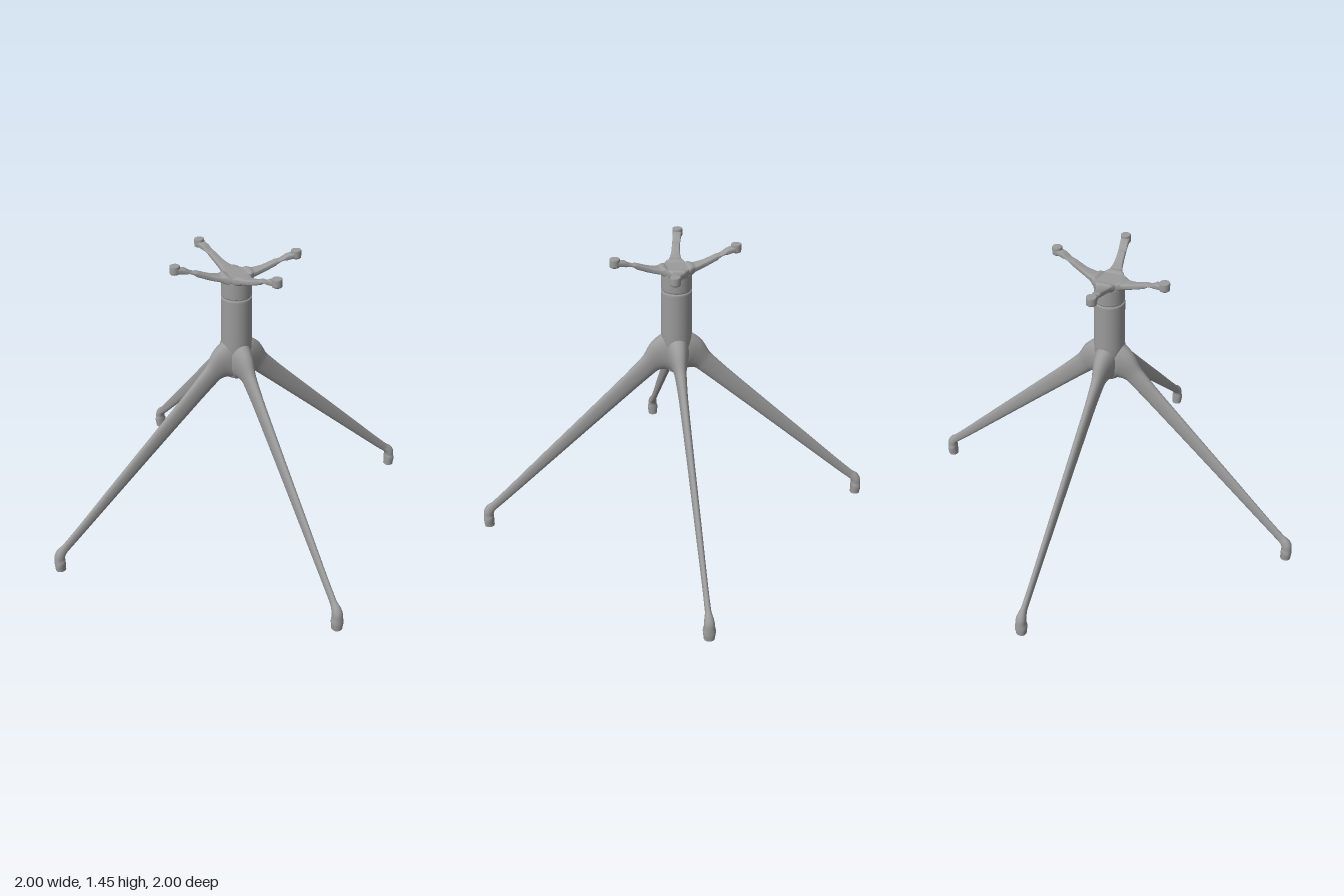
import * as THREE from 'three';

const V = (x, y, z) => new THREE.Vector3(x, y, z);

// Skin of rounded cross-sections; each station is { p: centre, u, v: half axes }, u x v along the path
function loft(stations, power, perSpan = 6, sides = 24) {
  const curve = (key) => new THREE.CatmullRomCurve3(stations.map((s) => s[key]));
  const P = curve('p'), U = curve('u'), W = curve('v');
  const rows = (stations.length - 1) * perSpan;
  const pos = [], idx = [];
  const soft = (c) => Math.sign(c) * Math.pow(Math.abs(c), power);
  const ring = (t) => {
    const p = P.getPoint(t), u = U.getPoint(t), v = W.getPoint(t);
    for (let j = 0; j < sides; j++) {
      const a = (j / sides) * Math.PI * 2;
      const q = p.clone().addScaledVector(u, soft(Math.cos(a))).addScaledVector(v, soft(Math.sin(a)));
      pos.push(q.x, q.y, q.z);
    }
    return p;
  };
  for (let i = 0; i <= rows; i++) ring(i / rows);
  for (let i = 0; i < rows; i++) {
    for (let j = 0; j < sides; j++) {
      const k = (j + 1) % sides, a = i * sides, b = a + sides;
      idx.push(a + j, a + k, b + j, a + k, b + k, b + j);
    }
  }
  // flat end caps
  for (const end of [0, 1]) {
    const base = pos.length / 3;
    const c = ring(end);
    pos.push(c.x, c.y, c.z);
    for (let j = 0; j < sides; j++) {
      const k = (j + 1) % sides;
      if (end) idx.push(base + sides, base + j, base + k);
      else idx.push(base + sides, base + k, base + j);
    }
  }
  const g = new THREE.BufferGeometry();
  g.setAttribute('position', new THREE.Float32BufferAttribute(pos, 3));
  g.setIndex(idx);
  g.computeVertexNormals();
  return g;
}

export function createModel() {
  const model = new THREE.Group();
  const metal = new THREE.MeshStandardMaterial({ color: 0x9b9b9b });
  metal.name = 'grey metal';
  const add = (name, geometry, parent = model) => {
    const m = new THREE.Mesh(geometry, metal);
    m.name = name;
    parent.add(m);
    return m;
  };
  const lathe = (pts) => new THREE.LatheGeometry(pts.map(([r, y]) => new THREE.Vector2(r, y)), 48);

  // Column, tapering into the hub below, and the swivel collar above a thin seam
  add('column', lathe([[0, 0.838], [0.04, 0.838], [0.052, 0.85], [0.064, 0.92], [0.072, 0.99],
    [0.073, 1.03], [0.073, 1.25], [0.073, 1.256], [0.071, 1.26], [0.066, 1.26], [0, 1.26]]));
  add('seam', new THREE.CylinderGeometry(0.067, 0.067, 0.012, 48).translate(0, 1.262, 0));
  add('swivelCollar', lathe([[0, 1.264], [0.066, 1.264], [0.071, 1.266], [0.072, 1.27], [0.072, 1.34],
    [0.072, 1.346], [0.07, 1.35], [0.066, 1.351], [0, 1.351]]));

  // Legs from foot to hub: x, y, section tilt in degrees, half height, half width
  const legStations = [
    [0.974, 0, 0, 0.025, 0.025], [0.974, 0.06, 0, 0.025, 0.025], [0.97, 0.086, 14, 0.025, 0.024],
    [0.958, 0.104, 34, 0.024, 0.02], [0.935, 0.122, 44, 0.022, 0.014], [0.86, 0.19, 45, 0.024, 0.013],
    [0.66, 0.378, 45, 0.031, 0.015], [0.44, 0.584, 45, 0.038, 0.017], [0.22, 0.79, 45, 0.046, 0.021],
    [0.13, 0.876, 47, 0.052, 0.028], [0.085, 0.918, 66, 0.081, 0.042], [0.045, 0.936, 85, 0.1, 0.054],
    [0, 0.938, 90, 0.1, 0.056],
  ].map(([x, y, deg, h, w]) => {
    const a = THREE.MathUtils.degToRad(deg);
    return { p: V(x, y, 0), u: V(Math.cos(a) * h, Math.sin(a) * h, 0), v: V(0, 0, -w) };
  });
  const legGeometry = loft(legStations, 0.9);
  ['leftLeg', 'backLeg', 'rightLeg', 'frontLeg'].forEach((name, i) => {
    add(name, legGeometry).rotation.y = (i * Math.PI) / 2;
  });

  // Seat arms: distance out, sideways drift, height, half thickness, half width
  const armPath = [
    [0, 0, 1.36, 0.014, 0.064], [0.045, 0, 1.36, 0.015, 0.055], [0.08, 0.006, 1.364, 0.015, 0.034],
    [0.13, 0.015, 1.376, 0.014, 0.022], [0.19, 0.026, 1.399, 0.013, 0.019],
    [0.24, 0.037, 1.418, 0.013, 0.02], [0.29, 0.048, 1.428, 0.014, 0.022],
  ];
  const armGeometry = (swap) => {
    const at = armPath.map(([d, s, y]) => (swap ? V(s, y, d) : V(d, y, s)));
    return loft(armPath.map(([, , , h, w], i) => {
      const t = at[Math.min(i + 1, at.length - 1)].clone().sub(at[Math.max(i - 1, 0)]).setY(0).normalize();
      return { p: at[i], u: V(0, h, 0), v: V(-t.z * w, 0, t.x * w) };
    }), 0.55);
  };
  const padGeometry = lathe([[0, 1.409], [0.019, 1.409], [0.023, 1.412], [0.024, 1.418],
    [0.024, 1.444], [0.023, 1.449], [0.021, 1.45], [0, 1.45]]);
  const spider = new THREE.Group();
  spider.name = 'seatSpider';
  model.add(spider);
  for (const swap of [false, true]) {
    const geometry = armGeometry(swap);
    for (const half of [0, 1]) {
      const arm = new THREE.Group();
      arm.name = 'seatArm';
      arm.rotation.y = half * Math.PI;
      spider.add(arm);
      add('armBar', geometry, arm);
      add('armPad', padGeometry, arm).position.set(swap ? 0.048 : 0.288, 0, swap ? 0.288 : 0.048);
    }
  }
  add('spiderPlate', new THREE.CylinderGeometry(0.07, 0.071, 0.026, 48).translate(0, 1.362, 0), spider);

  return model;
}
